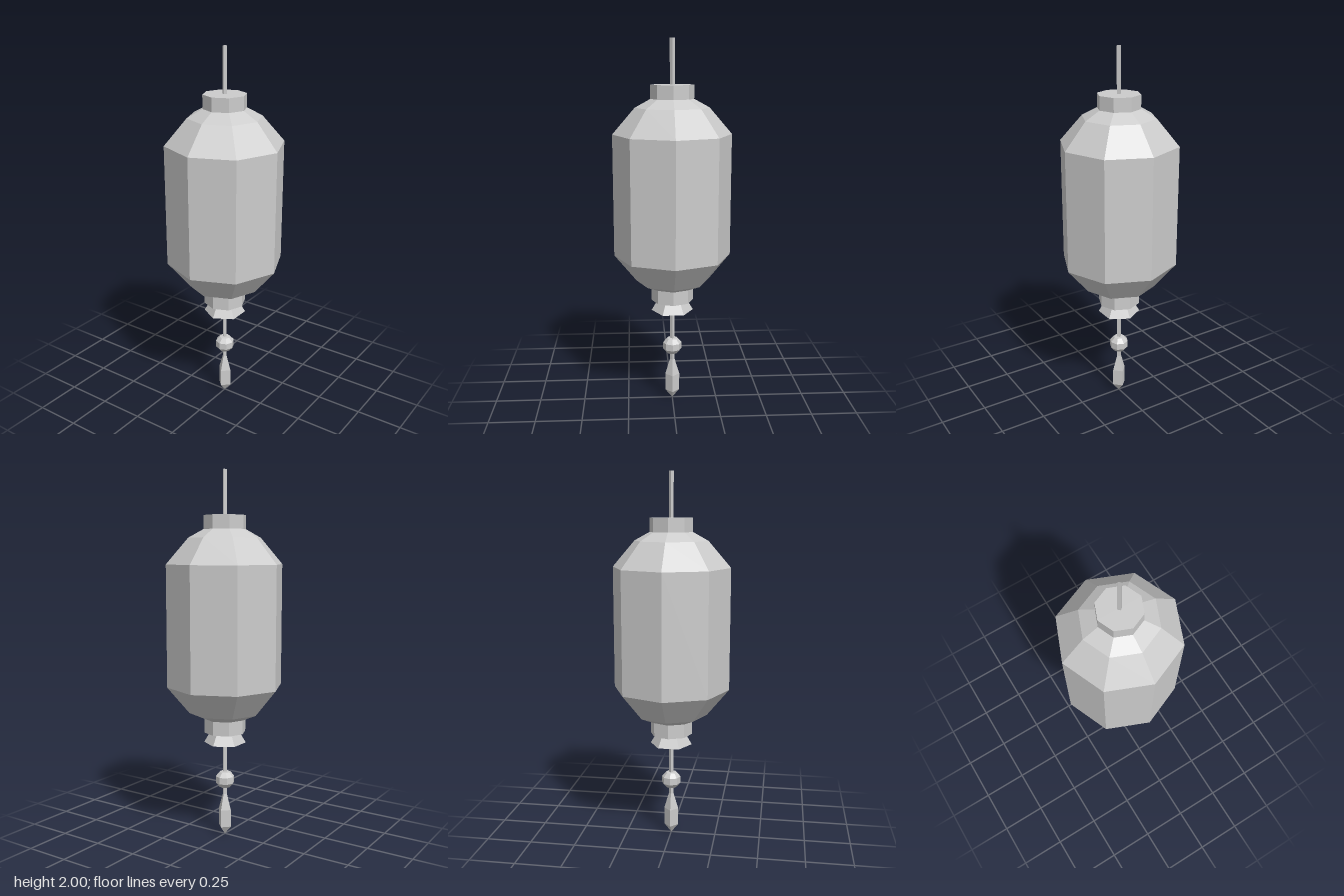
import * as THREE from 'three';

const solid = new THREE.MeshStandardMaterial({ color: 0xcccccc, flatShading: true });
const open = new THREE.MeshStandardMaterial({ color: 0xcccccc, flatShading: true, side: THREE.DoubleSide });

// Faceted part turned around the y axis from [radius, height] pairs, bottom to top
function turned(name, sides, profile, material = solid) {
  const points = profile.map(([r, y]) => new THREE.Vector2(r, y));
  const mesh = new THREE.Mesh(new THREE.LatheGeometry(points, sides), material);
  mesh.name = name;
  return mesh;
}

// Closed collar at either end of the lantern
const collar = (name, y0, y1) => turned(name, 8, [[0, y0], [0.115, y0], [0.115, y1], [0, y1]]);

// Thin square cord, open at the ends
const cord = (name, y0, y1) => turned(name, 4, [[0.013, y0], [0.013, y1]], open);

export function createModel() {
  const lantern = new THREE.Group();
  lantern.name = 'hangingLantern';

  lantern.add(
    // Eight-sided paper body with two-step shoulders
    turned('body', 8, [
      [0.115, 0.667], [0.197, 0.703], [0.317, 0.848],
      [0.317, 1.506], [0.197, 1.645], [0.115, 1.69],
    ], open),
    collar('topCollar', 1.69, 1.763),
    collar('bottomCollar', 0.59, 0.667),
    // Six-sided flared skirt, open below
    turned('skirt', 6, [[0.115, 0.53], [0.08, 0.59]], open),
    cord('hangingCord', 1.763, 2),
    cord('tasselCord', 0.22, 0.59),
    turned('bead', 8, [
      [0, 0.272], [0.03, 0.275], [0.052, 0.3],
      [0.052, 0.337], [0.03, 0.361], [0, 0.364],
    ]),
    // Four-sided tassel with a pointed tip
    turned('tassel', 4, [[0, 0], [0.04, 0.048], [0.04, 0.145], [0.013, 0.235], [0, 0.235]]),
  );
  return lantern;
}
